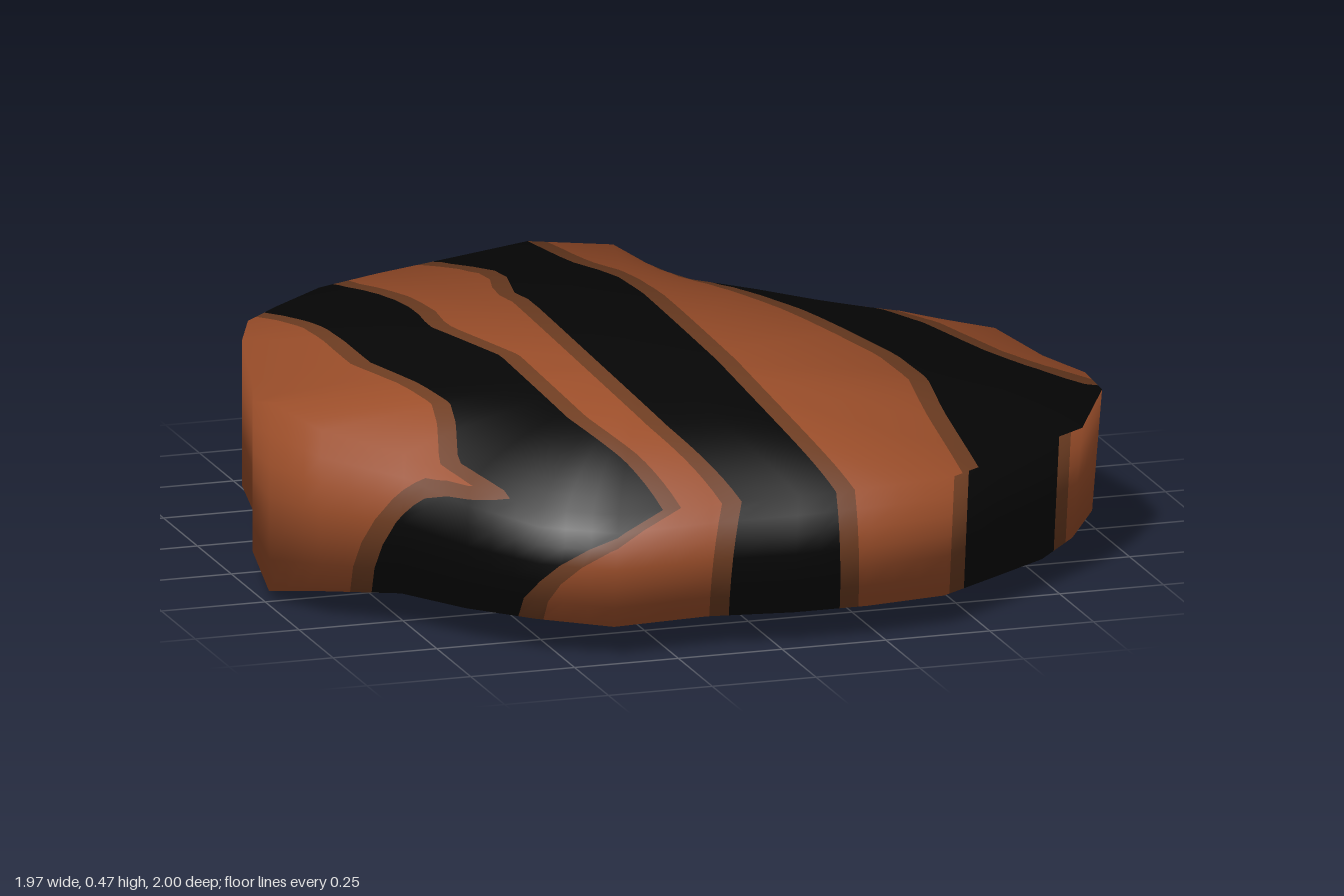
import * as THREE from 'three';

const base = new THREE.MeshStandardMaterial({ color: 0x9b4e2a });
base.name = 'sienna';
const fringe = new THREE.MeshStandardMaterial({ color: 0x6e3d22 });
fringe.name = 'dark brown';
const stripe = new THREE.MeshStandardMaterial({ color: 0x060606 });
stripe.name = 'black';

// Irregular rim, clockwise from the back: x, z, top height, bottom height
const rim = [
  [0.04, -1, 0.44, 0.045], [0.24, -0.98, 0.42, 0.04], [0.42, -0.92, 0.31, 0.025], [0.6, -0.84, 0.26, 0.005],
  [0.73, -0.71, 0.26, 0.04], [0.87, -0.53, 0.3, 0.04], [0.95, -0.34, 0.33, 0.04], [0.97, -0.05, 0.34, 0.07],
  [0.985, 0.22, 0.37, 0.125], [0.96, 0.42, 0.385, 0.095], [0.86, 0.58, 0.345, 0.08], [0.74, 0.72, 0.365, 0.075],
  [0.57, 0.86, 0.37, 0.08], [0.42, 0.97, 0.37, 0.08], [0.22, 1, 0.37, 0.08], [0.04, 1, 0.365, 0.08],
  [-0.16, 0.97, 0.355, 0.08], [-0.39, 0.99, 0.355, 0.08], [-0.55, 0.9, 0.36, 0.09], [-0.67, 0.74, 0.385, 0.085],
  [-0.77, 0.57, 0.42, 0.085], [-0.92, 0.42, 0.45, 0.065], [-0.985, 0.24, 0.475, 0.025], [-0.965, 0.05, 0.425, 0.07],
  [-0.9, -0.15, 0.41, 0.11], [-0.86, -0.35, 0.455, 0.11], [-0.79, -0.52, 0.45, 0.115], [-0.68, -0.65, 0.44, 0.12],
  [-0.53, -0.79, 0.435, 0.1], [-0.36, -0.88, 0.43, 0.085], [-0.17, -0.95, 0.43, 0.065],
];

// Stripe edges as [z, x] paths: left and right edge of each of the three stripes
const topEdges = [
  [[-0.6, -0.73], [-0.4, -0.65], [-0.1, -0.63], [0.08, -0.58], [0.25, -0.555], [0.4, -0.59], [0.63, -0.66], [0.8, -0.6]],
  [[-0.78, -0.49], [-0.6, -0.42], [-0.48, -0.4], [-0.35, -0.41], [-0.1, -0.32], [0.4, -0.32], [0.7, -0.29], [1, -0.28]],
  [[-0.92, -0.21], [-0.78, -0.11], [-0.7, -0.1], [-0.6, -0.13], [-0.52, -0.11], [0.5, -0.11], [1, -0.09]],
  [[-1, 0.04], [-0.82, 0.08], [-0.7, 0.15], [-0.55, 0.17], [0, 0.17], [0.5, 0.15], [1, 0.13]],
  [[-0.9, 0.35], [-0.7, 0.4], [-0.4, 0.5], [0, 0.6], [0.2, 0.61], [0.5, 0.56], [1, 0.49]],
  [[-0.8, 0.75], [-0.68, 0.65], [-0.4, 0.72], [0, 0.84], [0.4, 0.96], [0.48, 1.2]],
];
const lowEdges = [
  [[-0.7, -0.8], [0, -0.75], [0.6, -0.84]],
  [[-0.7, -0.53], [0, -0.48], [0.8, -0.58]],
  [[-0.95, -0.16], [-0.7, -0.11], [1, -0.11]],
  [[-1, 0.1], [-0.7, 0.15], [1, 0.15]],
  [[-0.88, 0.5], [-0.6, 0.47], [0, 0.5], [1, 0.47]],
  [[-0.7, 0.75], [0, 0.78], [0.7, 0.77]],
];

function along(path, z) {
  if (z <= path[0][0]) return path[0][1];
  for (let i = 1; i < path.length; i++) {
    const [z0, x0] = path[i - 1], [z1, x1] = path[i];
    if (z <= z1) return x0 + (x1 - x0) * (z - z0) / (z1 - z0);
  }
  return path[path.length - 1][1];
}

// The twelve colour borders at a point: fringe, stripe, stripe, fringe, three times over
function borders(z, t, onTop) {
  const list = [];
  for (let k = 0; k < 6; k++) {
    const low = along(lowEdges[k], z), high = along(topEdges[k], z);
    const x = onTop ? high : k > 3 ? low : low + (high - low) * t * t;
    list.push(...(k % 2 ? [x, x + 0.045] : [x - 0.045, x]));
  }
  return list;
}

// Keep the part of a polygon on one side of border k
function clip(poly, k, sign) {
  const out = [];
  poly.forEach((a, i) => {
    const b = poly[(i + 1) % poly.length];
    const da = sign * (a.p.x - a.edges[k]), db = sign * (b.p.x - b.edges[k]);
    if (da >= 0) out.push(a);
    if (da >= 0 !== db >= 0) {
      const s = da / (da - db);
      out.push({
        p: a.p.clone().lerp(b.p, s),
        n: a.n.clone().lerp(b.n, s),
        edges: a.edges.map((e, j) => e + (b.edges[j] - e) * s),
      });
    }
  });
  return out;
}

// Rim subdivided along its straight sides, with outward directions
function fineRim(steps) {
  const at = (i) => rim[(i + rim.length) % rim.length];
  const outward = (i) => {
    const p = at(i - 1), q = at(i + 1);
    return new THREE.Vector3(q[1] - p[1], 0, p[0] - q[0]).normalize();
  };
  const out = [];
  rim.forEach((a, i) => {
    for (let s = 0; s < steps; s++) {
      const f = s / steps;
      out.push({
        v: a.map((c, j) => c + (at(i + 1)[j] - c) * f),
        out: outward(i).lerp(outward(i + 1), f).normalize(),
      });
    }
  });
  return out;
}

export function createModel() {
  const points = fineRim(3);

  // Top or bottom face: r runs from the centre to the rim, which bends off a nearly flat middle
  const cap = (r, top) => points.map(({ v, out }) => {
    const x = v[0] * (!top && v[0] > 0 ? 0.98 : 1), z = v[1] * (!top && v[1] > 0 ? 0.965 : 1);
    const flat = (s) => (top ? 0.42 - (0.05 * x + 0.03 * z) * s : 0.05);
    const y = flat(r) + (v[top ? 2 : 3] - flat(1)) * r ** 6;
    const p = new THREE.Vector3(x * r, y, z * r);
    const axis = new THREE.Vector3(0, top ? 1 : -1, 0);
    const n = axis.clone().lerp(out.clone().add(axis).normalize(), r).normalize();
    return { p, n, edges: borders(p.z, 0, top) };
  });
  const topRim = cap(1, true), lowRim = cap(1, false);
  // Side wall: t runs from the bottom to the top
  const wall = (t) => topRim.map((a, i) => {
    const p = lowRim[i].p.clone().lerp(a.p, t);
    return { p, n: lowRim[i].n.clone().lerp(a.n, t).normalize(), edges: borders(p.z, t, false) };
  });

  const R = 16, W = 6;
  const surfaces = [[], [], []];
  for (let i = 0; i <= R; i++) {
    surfaces[0].push(cap(i / R, true));
    surfaces[2].push(cap(1 - i / R, false));
  }
  for (let i = 0; i <= W; i++) surfaces[1].push(wall(1 - i / W));

  // Cut every triangle into the thirteen colour zones
  const zones = Array.from({ length: 13 }, () => ({ pos: [], nor: [] }));
  const addTriangle = (tri) => {
    for (let k = 0; k < 13; k++) {
      let poly = tri;
      if (k > 0) poly = clip(poly, k - 1, 1);
      if (k < 12 && poly.length) poly = clip(poly, k, -1);
      for (let i = 2; i < poly.length; i++) {
        for (const c of [poly[0], poly[i - 1], poly[i]]) {
          zones[k].pos.push(c.p.x, c.p.y, c.p.z);
          const n = c.n.clone().normalize();
          zones[k].nor.push(n.x, n.y, n.z);
        }
      }
    }
  };
  for (const rows of surfaces) {
    for (let r = 0; r + 1 < rows.length; r++) {
      for (let i = 0; i < points.length; i++) {
        const j = (i + 1) % points.length;
        const a = rows[r][i], b = rows[r][j], c = rows[r + 1][i], d = rows[r + 1][j];
        if (a.p.distanceTo(b.p) > 1e-6) addTriangle([a, b, d]);
        if (c.p.distanceTo(d.p) > 1e-6) addTriangle([a, d, c]);
      }
    }
  }

  const group = new THREE.Group();
  group.name = 'stripedSlab';
  const kinds = [['body', base], ['stripeFringe', fringe], ['stripe', stripe], ['stripeFringe', fringe]];
  zones.forEach(({ pos, nor }, k) => {
    const geometry = new THREE.BufferGeometry();
    geometry.setAttribute('position', new THREE.Float32BufferAttribute(pos, 3));
    geometry.setAttribute('normal', new THREE.Float32BufferAttribute(nor, 3));
    const [name, material] = kinds[k % 4];
    const mesh = new THREE.Mesh(geometry, material);
    mesh.name = name + (k + 1);
    group.add(mesh);
  });
  return group;
}
